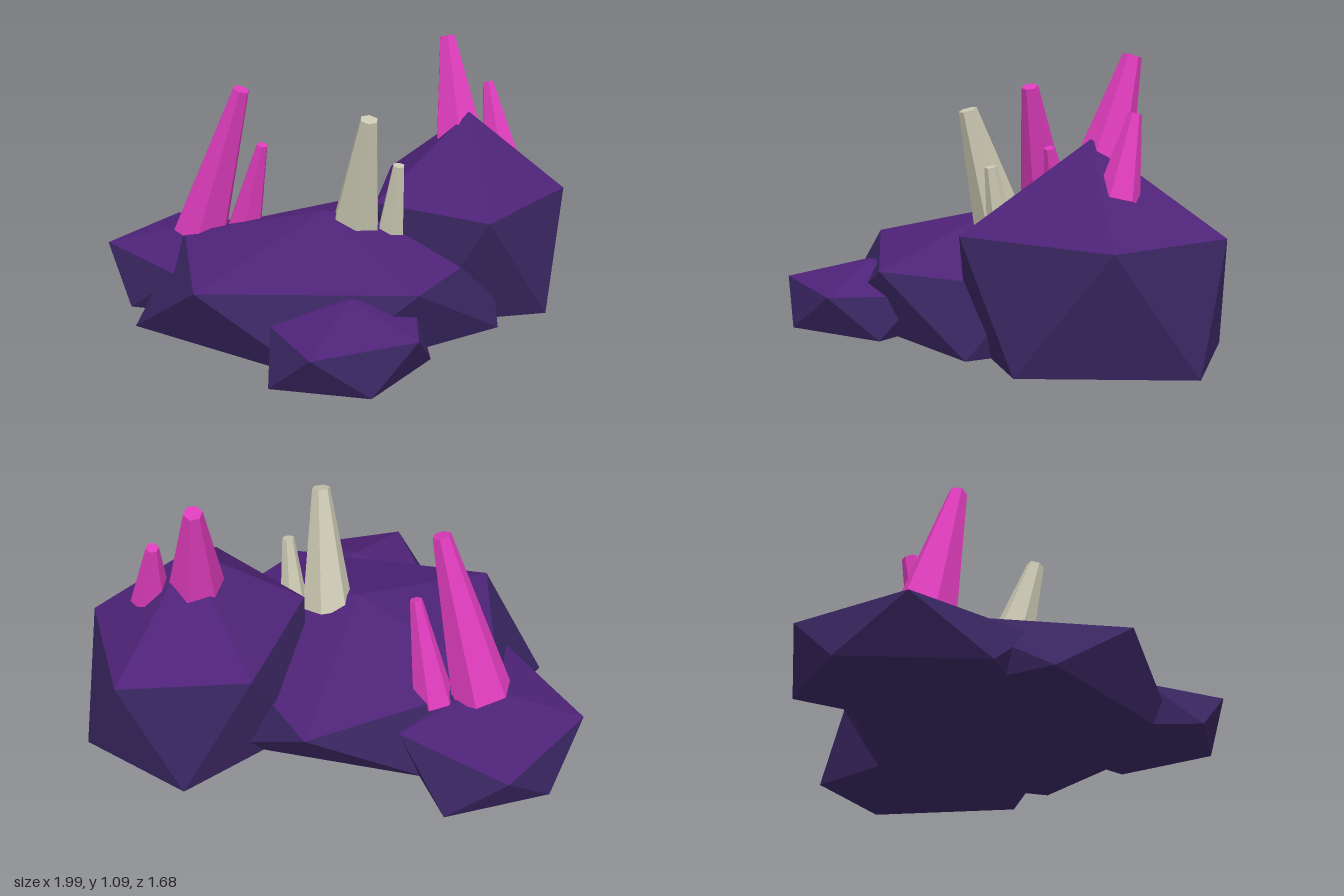
import * as THREE from 'three';

const mat = (name, color) => {
  const m = new THREE.MeshStandardMaterial({ color, flatShading: true });
  m.name = name;
  return m;
};

// Faceted boulder: peak, ring of five shoulder points, ring of five foot points, flat underside.
// Rings are [x, z] pairs, anticlockwise from above; foot i sits between shoulders i and i + 1.
function rock(name, peak, shoulderY, shoulder, foot, materials) {
  const n = shoulder.length;
  const up = shoulder.map(([x, z]) => [x, shoulderY, z]);
  const low = foot.map(([x, z]) => [x, 0, z]);
  const cap = [], side = [];
  for (let i = 0; i < n; i++) {
    const j = (i + 1) % n;
    cap.push(peak, up[i], up[j]);
    side.push(up[i], low[i], up[j], up[j], low[i], low[j]);
    if (i > 0 && i < n - 1) side.push(low[0], low[j], low[i]);
  }
  const geo = new THREE.BufferGeometry();
  geo.setAttribute('position', new THREE.Float32BufferAttribute([...cap, ...side].flat(), 3));
  geo.addGroup(0, cap.length, 0);
  geo.addGroup(cap.length, side.length, 1);
  geo.computeVertexNormals();
  const mesh = new THREE.Mesh(geo, materials);
  mesh.name = name;
  return mesh;
}

// Tapered six-sided crystal running from base to tip
function crystal(name, base, tip, baseR, tipR, material) {
  const a = new THREE.Vector3(...base), b = new THREE.Vector3(...tip);
  const axis = b.clone().sub(a);
  const geo = new THREE.CylinderGeometry(tipR, baseR, axis.length(), 6).toNonIndexed();
  geo.computeVertexNormals();
  const mesh = new THREE.Mesh(geo, material);
  mesh.position.copy(a).add(b).multiplyScalar(0.5);
  mesh.quaternion.setFromUnitVectors(new THREE.Vector3(0, 1, 0), axis.normalize());
  mesh.name = name;
  return mesh;
}

export function createModel() {
  const group = new THREE.Group();
  group.name = 'crystalRocks';
  const stone = [mat('purpleRockTop', 0x4e2378), mat('indigoRockSide', 0x38255f)];
  const pink = mat('pinkCrystal', 0xdc3cba);
  const grey = mat('paleCrystal', 0xc9c7b1);

  // Boulders
  group.add(
    rock('mainRock', [-0.03, 0.44, -0.02], 0.26,
      [[-0.5, 0.48], [0.36, 0.45], [0.66, -0.1], [0.02, -0.72], [-0.65, -0.22]],
      [[-0.03, 0.65], [0.69, 0.13], [0.42, -0.55], [-0.42, -0.55], [-0.79, 0.2]], stone),
    rock('tallRock', [0.57, 0.79, -0.33], 0.45,
      [[0.64, 0.15], [0.99, -0.36], [0.73, -0.8], [0.24, -0.65], [0.18, -0.1]],
      [[0.9, -0.03], [0.95, -0.67], [0.48, -0.84], [0.1, -0.38], [0.37, 0.11]], stone),
    rock('sideRock', [-0.6, 0.28, -0.29], 0.19,
      [[-0.62, 0.12], [-0.3, -0.08], [-0.31, -0.53], [-0.76, -0.7], [-1, -0.27]],
      [[-0.45, 0.08], [-0.24, -0.32], [-0.53, -0.74], [-0.91, -0.53], [-0.85, 0]], stone),
    rock('frontRock', [0.1, 0.26, 0.5], 0.16,
      [[-0.03, 0.84], [0.36, 0.65], [0.35, 0.3], [-0.05, 0.22], [-0.2, 0.54]],
      [[0.19, 0.8], [0.41, 0.45], [0.15, 0.2], [-0.2, 0.35], [-0.19, 0.74]], stone)
  );

  // Crystal pairs
  group.add(
    crystal('sideCrystalLarge', [-0.59, 0.25, -0.28], [-0.385, 0.91, -0.18], 0.125, 0.037, pink),
    crystal('sideCrystalSmall', [-0.41, 0.22, -0.34], [-0.31, 0.65, -0.26], 0.085, 0.025, pink),
    crystal('middleCrystalLarge', [0.1, 0.37, -0.03], [0.155, 0.86, 0.105], 0.107, 0.037, grey),
    crystal('middleCrystalSmall', [0.245, 0.34, -0.03], [0.275, 0.65, 0.02], 0.06, 0.025, grey),
    crystal('tallCrystalLarge', [0.535, 0.66, -0.375], [0.475, 1.085, -0.49], 0.112, 0.036, pink),
    crystal('tallCrystalSmall', [0.715, 0.59, -0.41], [0.655, 0.89, -0.475], 0.08, 0.025, pink)
  );
  return group;
}
